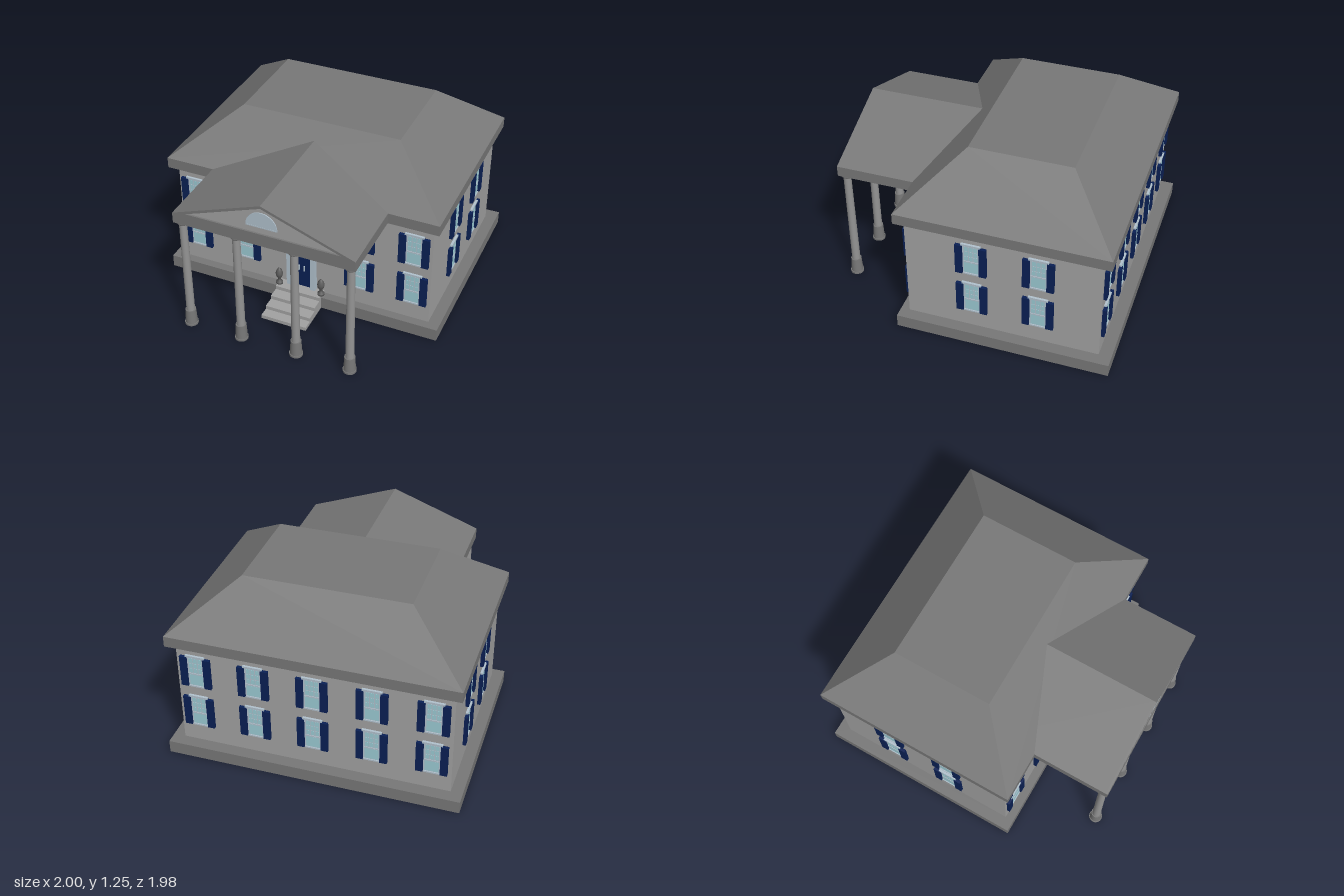
import * as THREE from 'three';
import { ConvexGeometry } from 'three/addons/geometries/ConvexGeometry.js';

const material = (name, color) => {
  const m = new THREE.MeshStandardMaterial({ color });
  m.name = name;
  return m;
};

export function createModel() {
  const wall = material('wall grey', 0xa2a2a2);
  const roof = material('roof grey', 0x787878);
  const shaft = material('column grey', 0x949494);
  const trim = material('pale trim', 0xb2c2ce);
  const glass = material('glass', 0x9ccbd4);
  const navy = material('navy paint', 0x0a2055);
  const dark = material('urn grey', 0x5c5c5c);

  const house = new THREE.Group();
  house.name = 'house';

  const add = (parent, name, geometry, mat, x = 0, y = 0, z = 0) => {
    const mesh = new THREE.Mesh(geometry, mat);
    mesh.name = name;
    mesh.position.set(x, y, z);
    parent.add(mesh);
    return mesh;
  };
  // Box given by its lower and upper corners
  const block = (parent, name, mat, [x0, y0, z0], [x1, y1, z1]) =>
    add(parent, name, new THREE.BoxGeometry(x1 - x0, y1 - y0, z1 - z0), mat,
      (x0 + x1) / 2, (y0 + y1) / 2, (z0 + z1) / 2);
  const polygon = (points) => new THREE.Shape(points.map(([x, y]) => new THREE.Vector2(x, y)));
  const extrude = (shape, depth) =>
    new THREE.ExtrudeGeometry(shape, { depth, bevelEnabled: false, curveSegments: 16 });

  // Walls, and a plinth running round them with a gap for the steps
  block(house, 'walls', wall, [-0.92, 0, -0.905], [0.92, 0.87, 0.4]);
  const plinth = extrude(polygon([
    [0.165, -0.46], [1, -0.46], [1, 0.99], [-1, 0.99], [-1, -0.46], [-0.165, -0.46],
    [-0.165, -0.4], [-0.92, -0.4], [-0.92, 0.905], [0.92, 0.905], [0.92, -0.4], [0.165, -0.4],
  ]), 0.09);
  plinth.rotateX(-Math.PI / 2);
  add(house, 'plinth', plinth, roof);

  // Hipped roof with a flat top
  const corners = [];
  for (const [x, y, z0, z1] of [[0.97, 0.86, -0.965, 0.455], [0.97, 0.935, -0.965, 0.455], [0.56, 1.255, -0.605, 0.09]])
    for (const s of [-1, 1]) for (const z of [z0, z1]) corners.push(new THREE.Vector3(s * x, y, z));
  add(house, 'mainRoof', new ConvexGeometry(corners), roof);

  // Portico roof with a recessed pediment
  const gable = [[-0.625, 0.86], [0.625, 0.86], [0.625, 0.935], [0, 1.165], [-0.625, 0.935]];
  const triangle = [[-0.53, 0.95], [0.53, 0.95], [0, 1.145]];
  add(house, 'porticoRoof', extrude(polygon(gable), 0.785), roof, 0, 0, 0.19);
  const frame = polygon(gable);
  frame.holes.push(polygon(triangle));
  add(house, 'pedimentFrame', extrude(frame, 0.015), roof, 0, 0, 0.975);
  add(house, 'pedimentPanel', extrude(polygon(triangle), 0.003), wall, 0, 0, 0.975);

  // Half-round fan window
  const fan = new THREE.Group();
  fan.name = 'fanWindow';
  fan.position.set(0, 1, 0.978);
  house.add(fan);
  const half = (r) => new THREE.Shape().absarc(0, 0, r, 0, Math.PI, false);
  add(fan, 'fanGlass', extrude(half(0.1), 0.003), glass);
  const rim = half(0.107);
  rim.holes.push(half(0.097));
  add(fan, 'fanRim', extrude(rim, 0.006), trim);
  block(fan, 'fanSill', trim, [-0.107, -0.005, 0], [0.107, 0.004, 0.007]);
  for (const a of [45, 90, 135]) {
    const angle = THREE.MathUtils.degToRad(a);
    const spoke = add(fan, 'fanSpoke', new THREE.BoxGeometry(0.1, 0.012, 0.005), wall,
      Math.cos(angle) * 0.05, Math.sin(angle) * 0.05, 0.003);
    spoke.rotation.z = angle;
  }

  // Columns
  const drum = (r0, r1, h) => new THREE.CylinderGeometry(r1, r0, h, 24);
  for (const x of [-0.58, -0.2, 0.2, 0.58]) {
    const column = new THREE.Group();
    column.name = 'column';
    column.position.set(x, 0, 0.945);
    house.add(column);
    add(column, 'foot', drum(0.046, 0.046, 0.015), roof, 0, 0.0075);
    add(column, 'pedestal', drum(0.041, 0.036, 0.105), roof, 0, 0.0675);
    add(column, 'shaft', drum(0.029, 0.026, 0.72), shaft, 0, 0.48);
    add(column, 'neck', drum(0.028, 0.034, 0.012), roof, 0, 0.838);
    add(column, 'capital', drum(0.038, 0.038, 0.016), roof, 0, 0.852);
  }

  // Window with shutters, origin at its centre on the wall, facing +z
  const addWindow = (x, y, z, turn) => {
    const w = new THREE.Group();
    w.name = 'window';
    w.position.set(x, y, z);
    w.rotation.y = turn;
    house.add(w);
    block(w, 'windowFrame', trim, [-0.056, -0.12, 0], [0.056, 0.11, 0.007]);
    block(w, 'windowHead', trim, [-0.066, 0.107, 0], [0.066, 0.123, 0.016]);
    block(w, 'windowSill', trim, [-0.054, -0.122, 0], [0.054, -0.112, 0.014]);
    block(w, 'lowerPane', glass, [-0.046, -0.108, 0.006], [0.046, -0.028, 0.009]);
    block(w, 'sashRail', trim, [-0.05, -0.026, 0], [0.05, -0.016, 0.011]);
    for (let row = 0; row < 3; row++)
      for (let col = -1; col <= 1; col++)
        add(w, 'upperPane', new THREE.BoxGeometry(0.025, 0.032, 0.003), glass,
          col * 0.031, 0.006 + row * 0.039, 0.0075);
    for (const s of [-1, 1])
      add(w, 'shutter', new THREE.BoxGeometry(0.048, 0.227, 0.022), navy, s * 0.08, -0.003, 0.011);
  };
  const rows = [0.342, 0.662];
  for (const y of rows) {
    for (const x of [-0.795, -0.42, 0.42, 0.795]) addWindow(x, y, 0.4, 0);
    for (const x of [-0.79, -0.395, 0, 0.395, 0.79]) addWindow(x, y, -0.905, Math.PI);
    for (const z of [-0.05, -0.495])
      for (const s of [-1, 1]) addWindow(s * 0.92, y, z, s * Math.PI / 2);
  }
  addWindow(0, 0.642, 0.4, 0);

  // Front door with surround and handles
  block(house, 'door', navy, [-0.072, 0.108, 0.4], [0.072, 0.42, 0.412]);
  for (const s of [-1, 1]) {
    add(house, 'doorJamb', new THREE.BoxGeometry(0.035, 0.332, 0.035), trim, s * 0.0885, 0.274, 0.4175);
    add(house, 'doorHandle', new THREE.BoxGeometry(0.01, 0.042, 0.01), trim, s * 0.02, 0.265, 0.416);
  }
  block(house, 'doorHead', trim, [-0.106, 0.415, 0.4], [0.106, 0.442, 0.44]);
  block(house, 'doorCornice', trim, [-0.12, 0.442, 0.4], [0.12, 0.456, 0.475]);

  // Front steps
  [0.49, 0.57, 0.65, 0.72].forEach((z, i, fronts) =>
    block(house, 'step', wall, [-0.165, 0, i ? fronts[i - 1] : 0.4], [0.165, 0.108 - i * 0.027, z]));

  // Urns beside the door
  const profile = [[0, 0], [0.025, 0], [0.025, 0.012], [0.01, 0.024], [0.009, 0.04], [0.022, 0.062],
    [0.026, 0.085], [0.019, 0.11], [0.009, 0.125], [0, 0.134]].map(([r, y]) => new THREE.Vector2(r, y));
  for (const s of [-1, 1]) add(house, 'urn', new THREE.LatheGeometry(profile, 16), dark, s * 0.157, 0.108, 0.445);

  return house;
}
